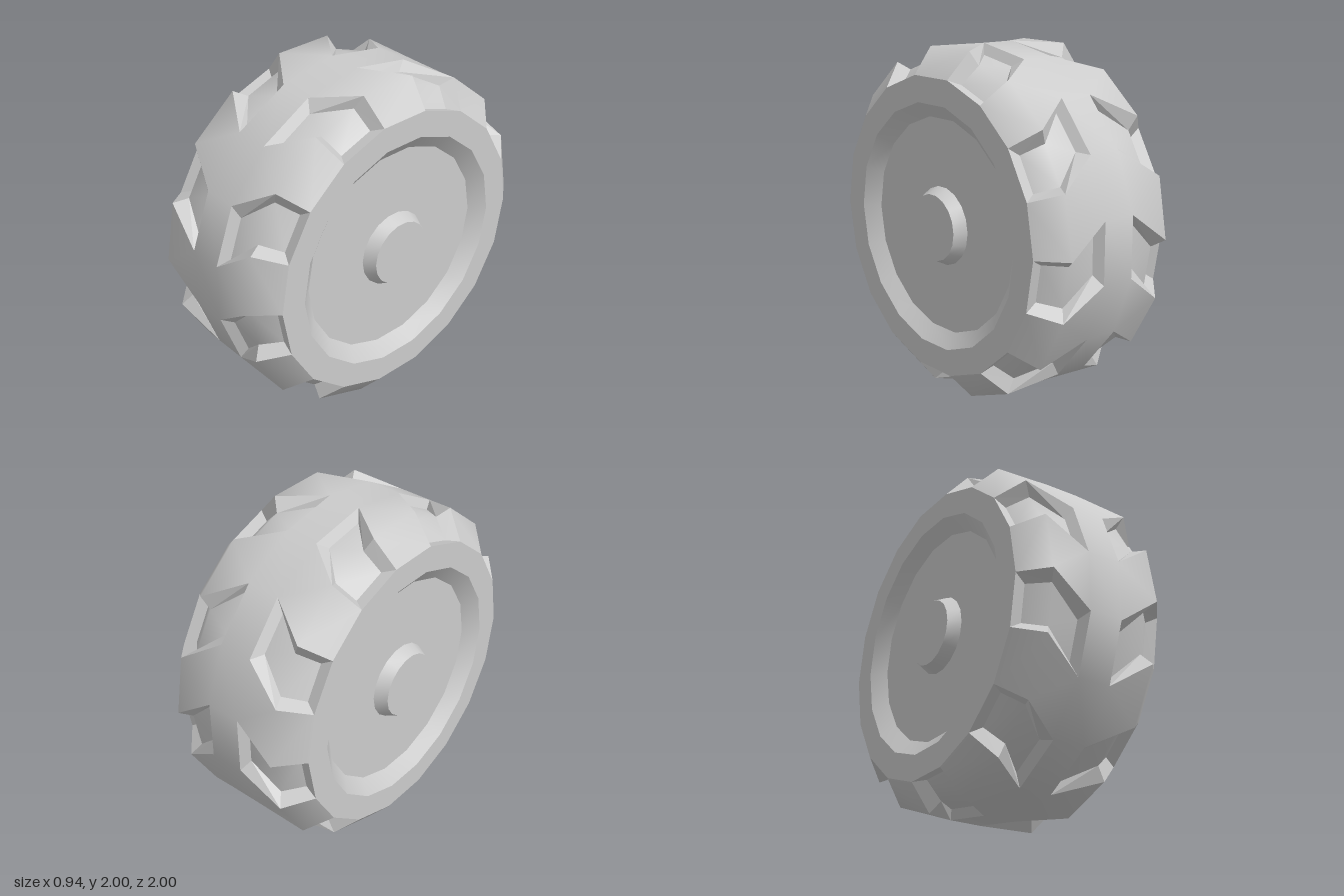
import * as THREE from 'three';
import { mergeVertices, toCreasedNormals } from 'three/addons/utils/BufferGeometryUtils.js';

const LUGS = 9, STEP = 20, CHEVRON = 10; // degrees
const INNER = { x: 0.10, r: 1.0 }, SHOULDER = { x: 0.34, r: 1.0 }, EDGE = { x: 0.47, r: 0.85 };
const FLOOR_INNER = { x: 0.135, r: 0.94 }, FLOOR_SHOULDER = { x: 0.30, r: 0.93 }, FLOOR_EDGE = { x: 0.40, r: 0.83 };

// Point on a ring around the axle (x axis), angle in degrees from the back
function ringPoint(ring, deg, side) {
  const a = THREE.MathUtils.degToRad(deg);
  return [side * ring.x, ring.r * Math.sin(a), -ring.r * Math.cos(a)];
}

// Quad as two triangles, reversed on the mirrored side
function addQuad(out, a, b, c, d, side) {
  const corners = side > 0 ? [a, b, c, a, c, d] : [a, c, b, a, d, c];
  for (const p of corners) out.push(...p);
}

// Six-cornered chevron outline: inner edge, shoulder, outer edge and back
function chevron(inner, shoulder, edge, start, inset, side) {
  const a = start + inset, b = start + STEP - inset;
  return [
    ringPoint(inner, a + CHEVRON, side), ringPoint(inner, b + CHEVRON, side),
    ringPoint(shoulder, b, side), ringPoint(edge, b, side),
    ringPoint(edge, a, side), ringPoint(shoulder, a, side),
  ];
}

function fillChevron(out, p, side) {
  addQuad(out, p[0], p[1], p[2], p[5], side);
  addQuad(out, p[5], p[2], p[3], p[4], side);
}

function makeMesh(name, positions, smooth, material) {
  let geometry = new THREE.BufferGeometry();
  geometry.setAttribute('position', new THREE.Float32BufferAttribute(positions, 3));
  if (smooth) geometry = mergeVertices(geometry, 1e-4);
  geometry.computeVertexNormals();
  const mesh = new THREE.Mesh(geometry, material);
  mesh.name = name;
  return mesh;
}

export function createModel() {
  const group = new THREE.Group();
  group.name = 'wheel';
  const material = new THREE.MeshStandardMaterial({ color: 0xcccccc });
  const tread = [], floors = [], walls = [];

  // Centre band of the tread
  for (let i = 0; i < LUGS * 2; i++) {
    const a = i * STEP + CHEVRON, b = a + STEP;
    addQuad(tread, ringPoint(INNER, a, -1), ringPoint(INNER, b, -1),
      ringPoint(INNER, b, 1), ringPoint(INNER, a, 1), 1);
  }

  // Raised lugs alternating with sunken pockets on both sides
  for (const side of [1, -1]) {
    for (let i = 0; i < LUGS; i++) {
      const start = i * STEP * 2;
      fillChevron(tread, chevron(INNER, SHOULDER, EDGE, start, 0, side), side);

      const rim = chevron(INNER, SHOULDER, EDGE, start + STEP, 0, side);
      const floor = chevron(FLOOR_INNER, FLOOR_SHOULDER, FLOOR_EDGE, start + STEP, 2.7, side);
      fillChevron(floors, floor, side);
      for (let k = 0; k < 6; k++) {
        const n = (k + 1) % 6;
        addQuad(walls, rim[k], rim[n], floor[n], floor[k], side);
      }
    }
  }
  group.add(makeMesh('tread', tread, true, material));
  group.add(makeMesh('pocketFloors', floors, true, material));
  group.add(makeMesh('pocketWalls', walls, false, material));

  // Sidewall, dished rim and hub cap on each side
  const lathe = (points) => toCreasedNormals(
    new THREE.LatheGeometry(points.map(([r, y]) => new THREE.Vector2(r, y)), LUGS * 2), 0.5);
  const parts = {
    Sidewall: lathe([[0.85, 0.47], [0.70, 0.47], [0.615, 0.40]]),
    RimDisc: lathe([[0.615, 0.40], [0.225, 0.40]]),
    Hub: lathe([[0.225, 0.40], [0.19, 0.47], [0, 0.47]]),
  };
  for (const side of [1, -1]) {
    for (const [name, geometry] of Object.entries(parts)) {
      const mesh = new THREE.Mesh(geometry, material);
      mesh.name = (side > 0 ? 'left' : 'right') + name;
      mesh.rotation.z = -side * Math.PI / 2;
      group.add(mesh);
    }
  }

  // Stand the wheel on the ground
  for (const part of group.children) part.position.y = 1;
  return group;
}
